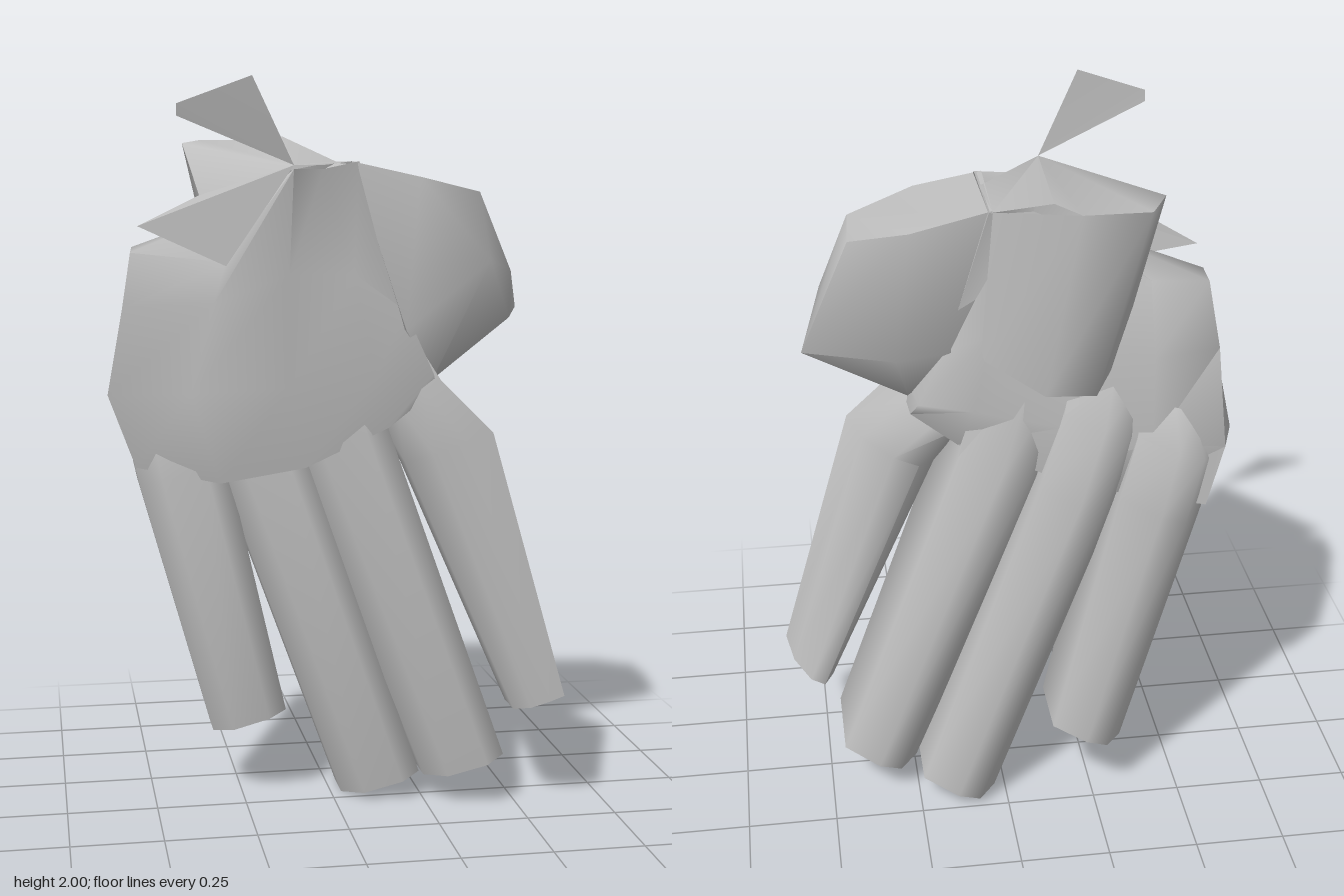
import * as THREE from 'three';
import { toCreasedNormals } from 'three/addons/utils/BufferGeometryUtils.js';
import { ConvexGeometry } from 'three/addons/geometries/ConvexGeometry.js';

const grey = new THREE.MeshStandardMaterial({ color: 0xbebebe, side: THREE.DoubleSide });
grey.name = 'grey';

function makeMesh(name, geometry, crease = 1.2) {
  const mesh = new THREE.Mesh(toCreasedNormals(geometry, crease), grey);
  mesh.name = name;
  return mesh;
}

// Skin over cross-sections listed from bottom to top, each going round from the front
function loft(rings, capTop = true) {
  const n = rings[0].length;
  const pos = rings.flat(2);
  const index = [];
  for (let i = 0; i < rings.length - 1; i++) {
    for (let j = 0; j < n; j++) {
      const a = i * n + j, b = i * n + (j + 1) % n;
      index.push(a, b, b + n, a, b + n, a + n);
    }
  }
  const addCap = (row, flip) => {
    const c = [0, 1, 2].map(k => rings[row].reduce((s, p) => s + p[k], 0) / n);
    const centre = pos.length / 3;
    pos.push(...c);
    for (let j = 0; j < n; j++) {
      const a = row * n + j, b = row * n + (j + 1) % n;
      index.push(centre, flip ? b : a, flip ? a : b);
    }
  };
  addCap(0, true);
  if (capTop) addCap(rings.length - 1, false);
  const g = new THREE.BufferGeometry();
  g.setAttribute('position', new THREE.Float32BufferAttribute(pos, 3));
  g.setIndex(index);
  return g;
}

// Fan of triangles through a list of corners
function fan(points) {
  const g = new THREE.BufferGeometry();
  g.setAttribute('position', new THREE.Float32BufferAttribute(points.flat(), 3));
  const index = [];
  for (let i = 1; i < points.length - 1; i++) index.push(0, i, i + 1);
  g.setIndex(index);
  return g;
}

// Finger outlines (across, depth): squarer towards the index side; the index finger is wedge-shaped
const fingerOutline = [[-1, 0.3], [-0.5, 0.8], [0.5, 1], [1, 0.8], [1, -0.65], [0.1, -1], [-0.5, -0.95], [-1, -0.4]];
const indexOutline = [[-1, 0.5], [-0.4, 0.9], [0.4, 1], [1, 1], [0.7, -0.1], [0, -0.9], [-0.6, -1], [-1, -0.4]];

// Section from centre height, left and right x, front and back z
const section = outline => ([y, x0, x1, zf, zb]) => outline.map(([u, v]) => [
  (x0 + x1) / 2 + u * (x1 - x0) / 2,
  y + u * (x1 - x0) * 0.18,
  (zf + zb) / 2 + v * (zf - zb) / 2,
]);

export function createModel() {
  const model = new THREE.Group();
  model.name = 'hand';

  // Fingers, tip first
  const fingers = {
    littleFinger: [[0.22, -0.33, -0.13, -0.02, -0.28], [0.95, -0.53, -0.3, 0.04, -0.28], [1.14, -0.57, -0.34, -0.02, -0.28], [1.25, -0.54, -0.36, -0.06, -0.22]],
    ringFinger: [[0.04, 0.03, 0.24, 0.06, -0.25], [0.98, -0.31, -0.09, 0.12, -0.25], [1.2, -0.37, -0.15, 0.06, -0.25], [1.33, -0.4, -0.18, 0.06, -0.2]],
    middleFinger: [[0.11, 0.25, 0.46, 0.16, -0.17], [1.05, -0.12, 0.12, 0.18, -0.18], [1.35, -0.22, 0.04, 0.12, -0.15]],
  };
  for (const [name, rows] of Object.entries(fingers)) {
    model.add(makeMesh(name, loft(rows.map(section(fingerOutline)))));
  }
  model.add(makeMesh('indexFinger', loft([
    [0.31, 0.48, 0.61, 0.21, 0], [1.03, 0.17, 0.4, 0.2, 0], [1.18, 0.08, 0.26, 0.18, -0.09], [1.36, -0.05, 0.15, 0.13, -0.1],
  ].map(section(indexOutline)))));

  // Palm, from the knuckles up to the wrist
  model.add(makeMesh('palm', loft([
    [[-0.54, 0.96, -0.06], [-0.32, 0.93, 0.06], [-0.1, 0.98, 0.14], [0.12, 1.09, 0.18], [0.25, 1.19, 0.17],
      [0.24, 1.19, -0.04], [0.12, 1.12, -0.1], [-0.1, 1.05, -0.16], [-0.32, 0.99, -0.2], [-0.53, 0.97, -0.25]],
    [[-0.61, 1.15, -0.15], [-0.4, 1.18, 0.1], [-0.15, 1.2, 0.18], [0.08, 1.23, 0.2], [0.24, 1.23, 0.18],
      [0.22, 1.23, -0.07], [0.08, 1.23, -0.13], [-0.15, 1.2, -0.19], [-0.38, 1.16, -0.24], [-0.57, 1.15, -0.26]],
    [[-0.57, 1.4, -0.06], [-0.34, 1.42, 0.12], [-0.15, 1.5, 0.2], [0.02, 1.5, 0.2], [0.16, 1.4, 0.19],
      [0.15, 1.4, -0.1], [0.03, 1.45, -0.13], [-0.17, 1.45, -0.17], [-0.38, 1.4, -0.22], [-0.56, 1.4, -0.18]],
    [[-0.55, 1.55, 0], [-0.31, 1.53, 0.14], [-0.15, 1.77, 0.28], [-0.06, 1.77, 0.19], [0.04, 1.79, 0.16],
      [0.04, 1.79, -0.14], [-0.05, 1.77, -0.13], [-0.22, 1.7, -0.14], [-0.37, 1.6, -0.18], [-0.54, 1.56, -0.11]],
  ]), 1.4));

  // Thumb folded into a rounded block
  const thumb = [
    [0.02, 1.79, 0.16], [0.03, 1.79, -0.13], [0.2, 1.75, 0.18], [0.24, 1.74, -0.13],
    [0.38, 1.71, 0.1], [0.39, 1.7, -0.06], [0.39, 1.53, 0.19], [0.46, 1.5, 0.13],
    [0.52, 1.39, -0.04], [0.47, 1.37, 0.08], [0.25, 1.21, 0.12], [0.24, 1.21, 0.03],
    [0.16, 1.35, 0.2], [0.28, 1.38, -0.11], [0.08, 1.4, -0.1],
  ];
  model.add(makeMesh('thumb', new ConvexGeometry(thumb.map(p => new THREE.Vector3(...p))), 1));

  // Wrist stub at the back and the cut across its top
  model.add(makeMesh('wristStub', loft([
    [[-0.25, 1.4, -0.06], [-0.04, 1.4, -0.06], [0.06, 1.38, -0.12], [-0.09, 1.33, -0.26], [-0.22, 1.33, -0.27], [-0.29, 1.38, -0.17]],
    [[-0.36, 1.7, -0.04], [-0.1, 1.77, 0], [0.03, 1.79, -0.14], [-0.16, 1.85, -0.34], [-0.33, 1.85, -0.34], [-0.39, 1.84, -0.21]],
  ], false)));
  model.add(makeMesh('wristCut', fan([
    [-0.15, 1.78, 0.28], [-0.06, 1.78, 0.18], [0.04, 1.79, 0.05], [0.03, 1.79, -0.14], [-0.1, 1.86, -0.28], [-0.16, 1.85, -0.34],
    [-0.33, 1.85, -0.34], [-0.39, 1.84, -0.21], [-0.36, 1.7, -0.04], [-0.31, 1.66, 0.13],
  ])));

  // Loose skin flaps at the wrist
  model.add(makeMesh('upperFlap', fan([
    [-0.15, 1.78, 0.28], [-0.26, 2, 0.32], [-0.45, 1.93, 0.34], [-0.45, 1.9, 0.335],
  ])));
  model.add(makeMesh('lowerFlap', fan([
    [-0.15, 1.78, 0.28], [-0.36, 1.7, -0.04], [-0.53, 1.62, 0], [-0.31, 1.52, 0.15],
  ])));

  return model;
}
